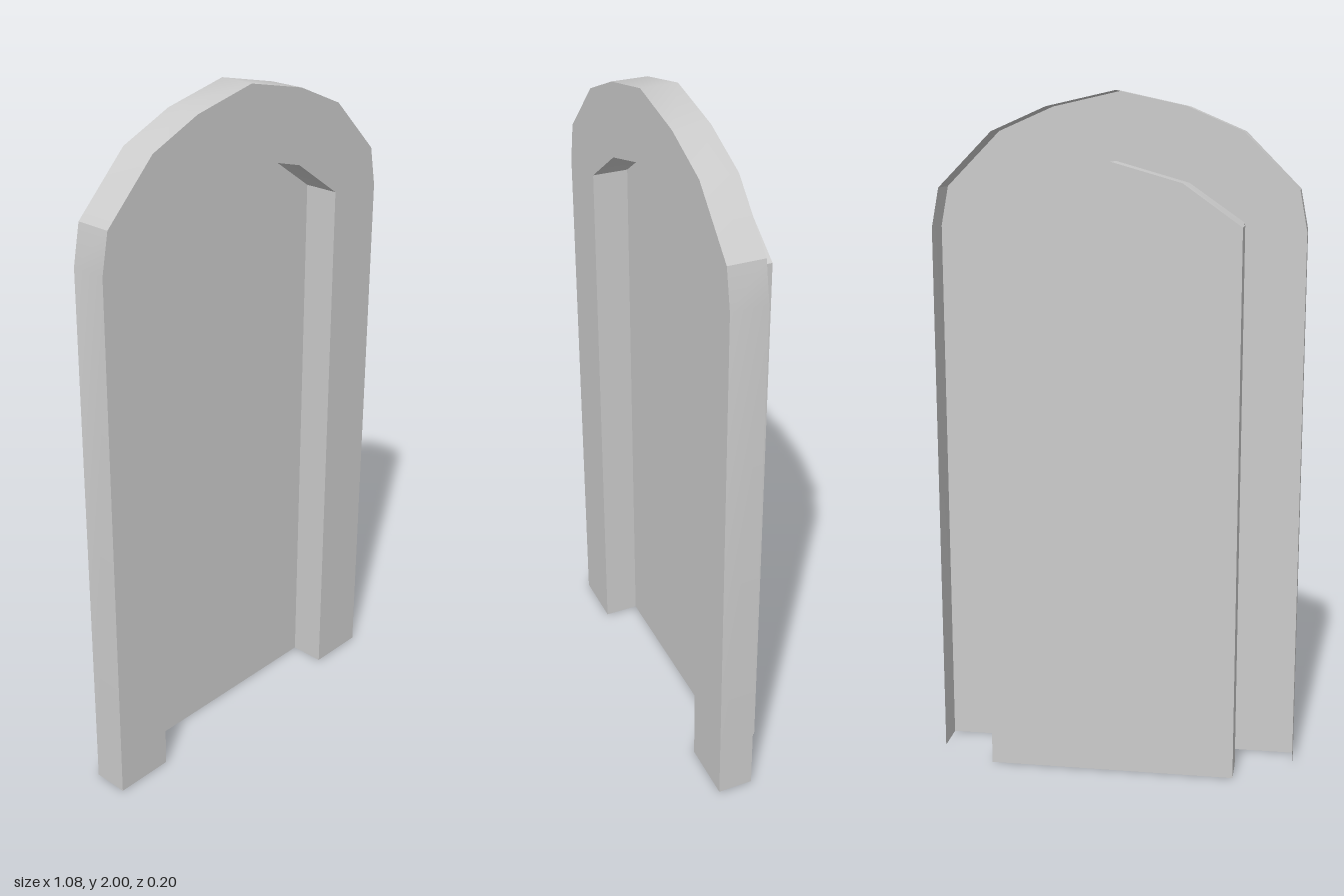
import * as THREE from 'three';
import { toCreasedNormals } from 'three/addons/utils/BufferGeometryUtils.js';

const FRONT = 0.102, MIDDLE = -0.004, BACK = -0.102;

// Mirrors a right-hand half profile into a full arch, from lower -x over the peak to lower +x
function arch(half) {
  const pts = half.map(([x, y]) => new THREE.Vector2(x, y));
  const mirrored = pts.slice(0, -1).map((p) => new THREE.Vector2(-p.x, p.y));
  return [...mirrored, ...pts.reverse()];
}

const outerArch = arch([[0.54, 0], [0.54, 1.613], [0.518, 1.728], [0.36, 1.887], [0.2, 1.956], [0, 2]]);
const openingArch = arch([[0.36, 0], [0.36, 1.629], [0.198, 1.742], [0, 1.797]]);
const doorArch = arch([[0.367, 0], [0.367, 1.63], [0.2, 1.749], [0, 1.806]]);

// Open band that follows an arch between two depths
function band(points, zBack, zFront, inward = false) {
  const positions = [], index = [];
  points.forEach((p, i) => {
    positions.push(p.x, p.y, zBack, p.x, p.y, zFront);
    if (i === points.length - 1) return;
    const a = 2 * i, b = a + 1, c = a + 2, d = a + 3;
    if (inward) index.push(a, c, d, a, d, b);
    else index.push(a, d, c, a, b, d);
  });
  const geometry = new THREE.BufferGeometry();
  geometry.setAttribute('position', new THREE.Float32BufferAttribute(positions, 3));
  geometry.setIndex(index);
  return toCreasedNormals(geometry, Math.PI / 6);
}

// Flat sheet filling an outline
function sheet(points, z, facesBack = false) {
  const geometry = new THREE.ShapeGeometry(new THREE.Shape(points));
  if (facesBack) geometry.rotateY(Math.PI);
  return geometry.translate(0, 0, z);
}

export function createModel() {
  const model = new THREE.Group();
  model.name = 'archedDoor';
  const material = new THREE.MeshStandardMaterial({ color: 0xcccccc, side: THREE.DoubleSide });

  function group(name, parts) {
    const g = new THREE.Group();
    g.name = name;
    for (const [partName, geometry] of parts) {
      const mesh = new THREE.Mesh(geometry, material);
      mesh.name = partName;
      g.add(mesh);
    }
    model.add(g);
  }

  // Surround: hollow shell, open at the back and underneath
  group('doorFrame', [
    ['frameFace', sheet([...outerArch, ...[...openingArch].reverse()], FRONT)],
    ['frameOuterWall', band(outerArch, MIDDLE, FRONT)],
    ['frameJamb', band(openingArch, MIDDLE, FRONT, true)],
  ]);

  // Door slab set behind the opening, open underneath
  group('door', [
    ['doorFront', sheet(doorArch, MIDDLE)],
    ['doorBack', sheet(doorArch, BACK, true)],
    ['doorEdge', band(doorArch, BACK, MIDDLE)],
  ]);

  return model;
}
